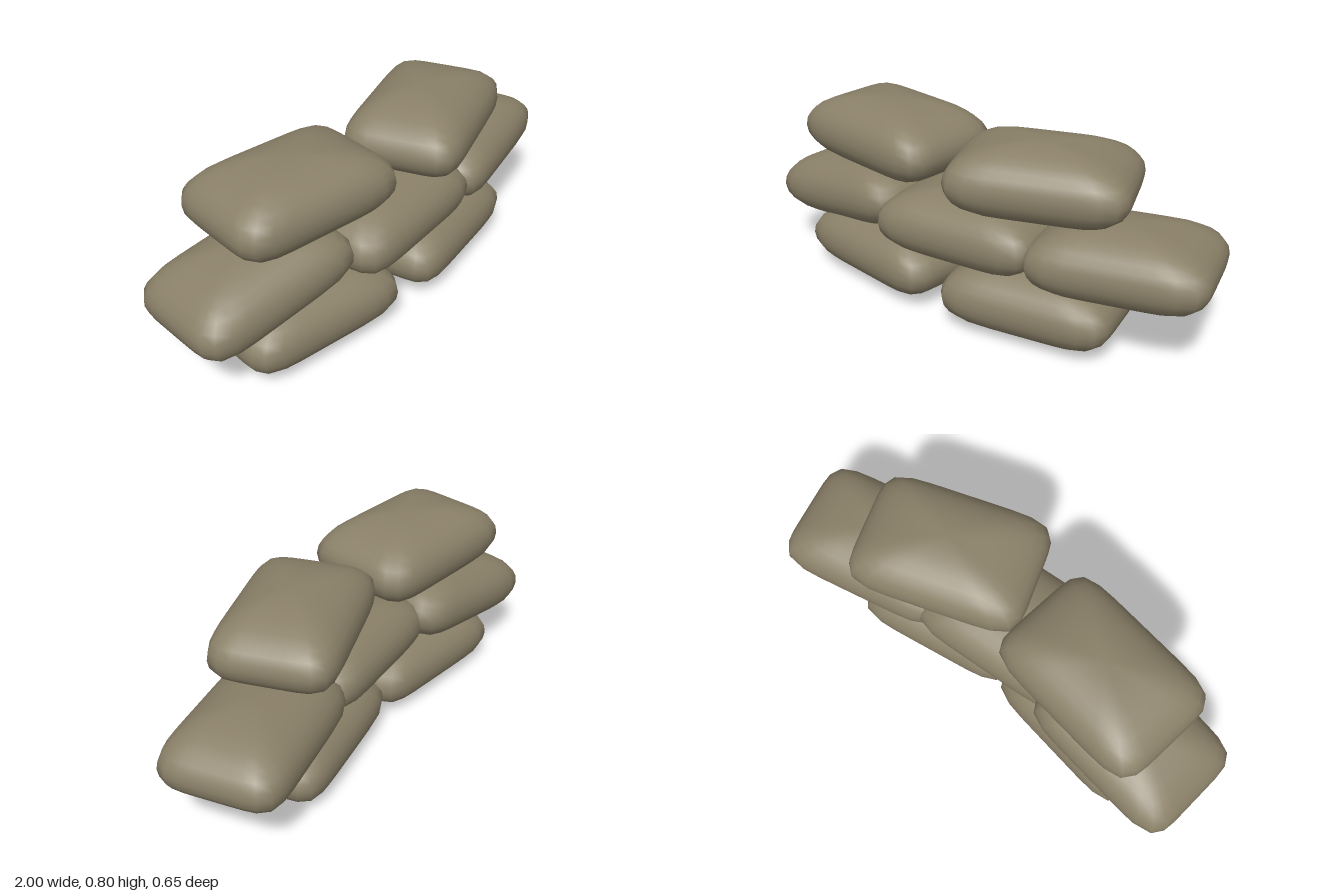
import * as THREE from 'three';
import { mergeVertices } from 'three/addons/utils/BufferGeometryUtils.js';

// Half sizes of one filled sack
const HALF = { x: 0.353, y: 0.152, z: 0.24 };

// Pillow: a sphere pushed out to a rounded-rectangle plan with a bulging profile
function sackGeometry() {
  let geo = new THREE.SphereGeometry(1, 40, 16);
  geo.deleteAttribute('uv');
  geo.deleteAttribute('normal');
  const pos = geo.attributes.position;
  for (let i = 0; i < pos.count; i++) {
    const x = pos.getX(i), y = pos.getY(i), z = pos.getZ(i);
    const r = Math.hypot(x, z);
    if (r < 1e-5) {
      pos.setXYZ(i, 0, Math.sign(y) * HALF.y, 0);
      continue;
    }
    const c = x / r, s = z / r;
    const square = Math.pow(Math.abs(c) ** 6.7 + Math.abs(s) ** 6.7, -1 / 6.7);
    const spread = Math.pow(r, 0.92) * square;
    const lift = Math.sign(y) * Math.pow(Math.abs(y), 0.92);
    pos.setXYZ(i, c * spread * HALF.x, lift * HALF.y, s * spread * HALF.z);
  }
  geo = mergeVertices(geo, 1e-5);
  geo.computeVertexNormals();
  return geo;
}

export function createModel() {
  const group = new THREE.Group();
  group.name = 'sandbagWall';
  const canvas = new THREE.MeshStandardMaterial({ color: 0x8a8068 });
  canvas.name = 'tan canvas';
  const geo = sackGeometry();

  // name, centre, turn about y, tilt about z
  const sacks = [
    ['bottomRightSack', [-0.44, 0.153, -0.01], -0.16, 0],
    ['bottomLeftSack', [0.29, 0.153, 0.012], 0.15, 0],
    ['middleRightSack', [-0.64, 0.365, -0.055], -0.12, 0.15],
    ['middleCentreSack', [-0.01, 0.386, 0.03], 0.06, 0.02],
    ['middleLeftSack', [0.625, 0.385, -0.048], 0.21, 0.03],
    ['topRightSack', [-0.445, 0.652, -0.02], -0.15, 0],
    ['topLeftSack', [0.298, 0.652, 0.012], 0.32, 0],
  ];
  for (const [name, centre, turn, tilt] of sacks) {
    const sack = new THREE.Mesh(geo, canvas);
    sack.name = name;
    sack.position.set(...centre);
    sack.rotation.set(0, turn, tilt);
    group.add(sack);
  }
  return group;
}
